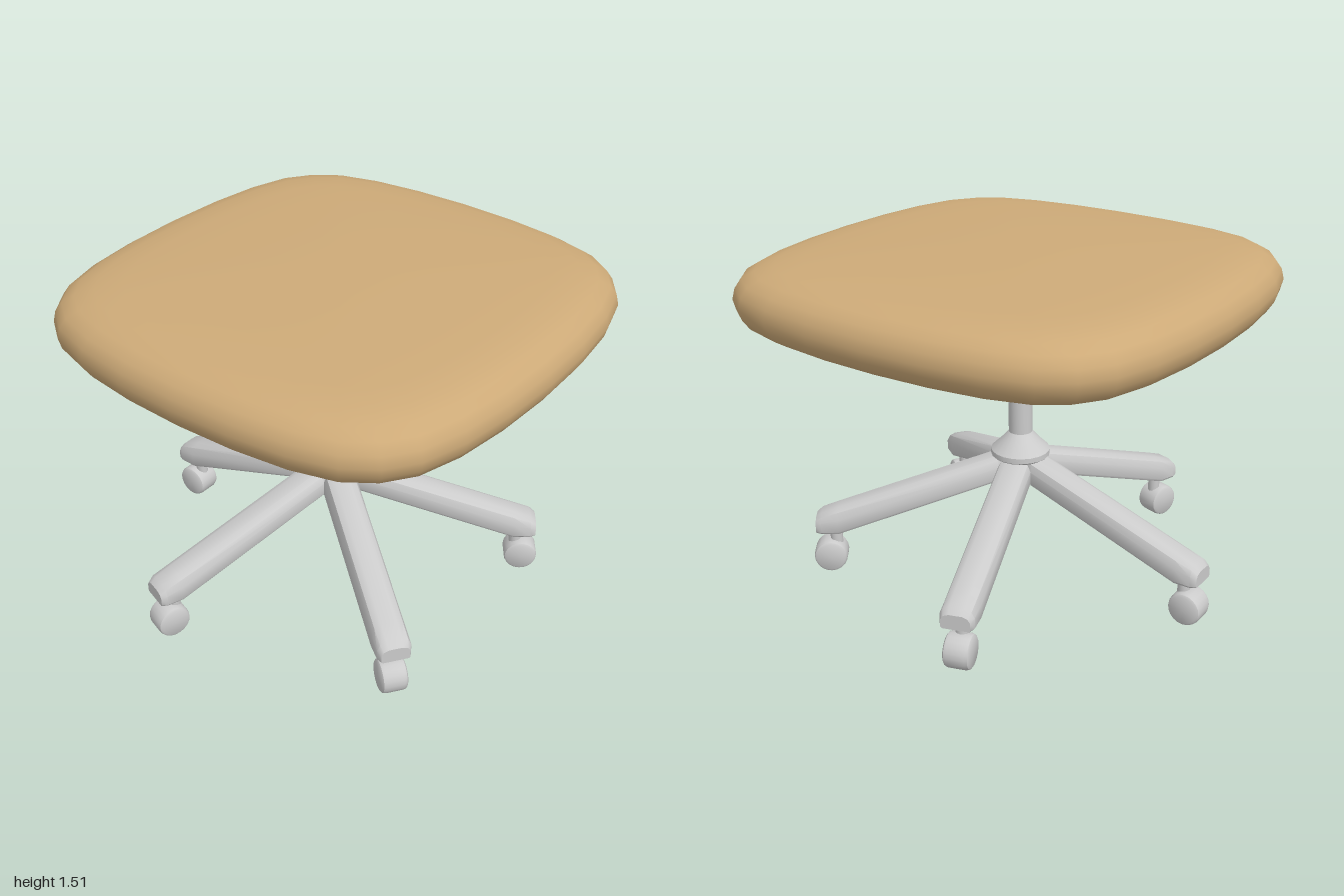
import * as THREE from 'three';
import { mergeVertices, toCreasedNormals } from 'three/addons/utils/BufferGeometryUtils.js';

const grey = new THREE.MeshStandardMaterial({ color: 0xcccccc });
const tan = new THREE.MeshStandardMaterial({ color: 0xcdaa78 });

function mesh(name, geometry, material = grey) {
  const m = new THREE.Mesh(geometry, material);
  m.name = name;
  return m;
}

// Turned part from [radius, y] pairs, bottom to top
function turned(points, sides = 20) {
  const g = new THREE.LatheGeometry(points.map(([r, y]) => new THREE.Vector2(r, y)), sides);
  return toCreasedNormals(g, 0.6);
}

// Cushion: a lathe whose rings are reshaped to a rounded square
function cushionGeometry() {
  const half = [[0.0, 0.167], [0.35, 0.163], [0.6, 0.153], [0.75, 0.146], [0.85, 0.135],
    [0.92, 0.114], [0.965, 0.085], [0.99, 0.045]];
  const middle = 1.348;
  const profile = [
    ...half.map(([s, d]) => new THREE.Vector2(s, middle - d)),
    new THREE.Vector2(1, middle),
    ...half.slice().reverse().map(([s, d]) => new THREE.Vector2(s, middle + d)),
  ];
  // One quarter of the outline, running from +z to +x
  const octant = [[0, 1], [0.27, 0.99], [0.51, 0.96], [0.70, 0.905], [0.82, 0.82]];
  const quarter = [...octant, ...octant.slice(1, 4).reverse().map(([x, z]) => [z, x])];
  const geometry = new THREE.LatheGeometry(profile, 32);
  const pos = geometry.attributes.position;
  for (let i = 0; i < pos.count; i++) {
    const ring = Math.floor(i / profile.length) % 32;
    const s = profile[i % profile.length].x;
    let [x, z] = quarter[ring % 8];
    for (let q = 0; q < Math.floor(ring / 8); q++) [x, z] = [z, -x];
    pos.setX(i, x * s);
    pos.setZ(i, z * s);
  }
  geometry.deleteAttribute('uv');
  geometry.deleteAttribute('normal');
  const merged = mergeVertices(geometry, 1e-4);
  merged.computeVertexNormals();
  return merged;
}

// Leg running along +z, lofted through [distance, half width, bottom, top]
function legGeometry() {
  const stations = [
    [0.0, 0.01, 0.49, 0.57], [0.1, 0.075, 0.455, 0.565], [0.82, 0.075, 0.2, 0.318],
    [0.895, 0.073, 0.2, 0.29], [0.92, 0.062, 0.203, 0.268],
  ];
  const right = [[0.9, 0], [1, 0.1], [1, 0.6], [0.82, 0.87], [0.45, 1]];
  const section = [...right, ...right.slice().reverse().map(([x, y]) => [-x, y])];
  const n = section.length;
  const vertices = [];
  const index = [];
  for (const [z, w, bottom, top] of stations) {
    for (const [x, y] of section) vertices.push(x * w, bottom + y * (top - bottom), z);
  }
  for (let s = 0; s < stations.length - 1; s++) {
    for (let j = 0; j < n; j++) {
      const a = s * n + j;
      const b = s * n + (j + 1) % n;
      index.push(a, b, b + n, a, b + n, a + n);
    }
  }
  const last = (stations.length - 1) * n;
  for (let j = 1; j < n - 1; j++) {
    index.push(last, last + j, last + j + 1);
    index.push(0, j + 1, j);
  }
  const g = new THREE.BufferGeometry();
  g.setAttribute('position', new THREE.Float32BufferAttribute(vertices, 3));
  g.setIndex(index);
  return toCreasedNormals(g, 0.65);
}

export function createModel() {
  const model = new THREE.Group();
  model.name = 'stool';
  model.add(mesh('seatCushion', cushionGeometry(), tan));

  const base = new THREE.Group();
  base.name = 'base';
  base.position.set(-0.025, 0, -0.015);
  model.add(base);

  // Central column
  base.add(mesh('seatMount', turned([[0, 1.11], [0.07, 1.11], [0.07, 1.22], [0, 1.22]])));
  base.add(mesh('gasRod', turned([[0.035, 0.92], [0.035, 1.12]])));
  base.add(mesh('columnTube', turned([[0.052, 0.6], [0.052, 0.935], [0, 0.935]])));
  base.add(mesh('hub', turned([[0, 0.555], [0.118, 0.555], [0.13, 0.565], [0.13, 0.588],
    [0.085, 0.632], [0.052, 0.67]])));

  // Five legs with casters, one pointing straight back
  const leg = legGeometry();
  const stem = turned([[0.028, 0.1], [0.028, 0.22]], 12);
  const wheel = turned([[0, -0.056], [0.062, -0.056], [0.071, -0.05], [0.075, -0.038],
    [0.075, 0.038], [0.071, 0.05], [0.062, 0.056], [0, 0.056]], 20);
  wheel.rotateZ(Math.PI / 2);
  for (let i = 0; i < 5; i++) {
    const arm = new THREE.Group();
    arm.name = 'legWithCaster';
    arm.rotation.y = Math.PI + i * Math.PI * 2 / 5;
    const casterStem = mesh('casterStem', stem);
    casterStem.position.z = 0.836;
    const casterWheel = mesh('casterWheel', wheel);
    casterWheel.position.set(0, 0.075, 0.862);
    arm.add(mesh('leg', leg), casterStem, casterWheel);
    base.add(arm);
  }
  return model;
}
